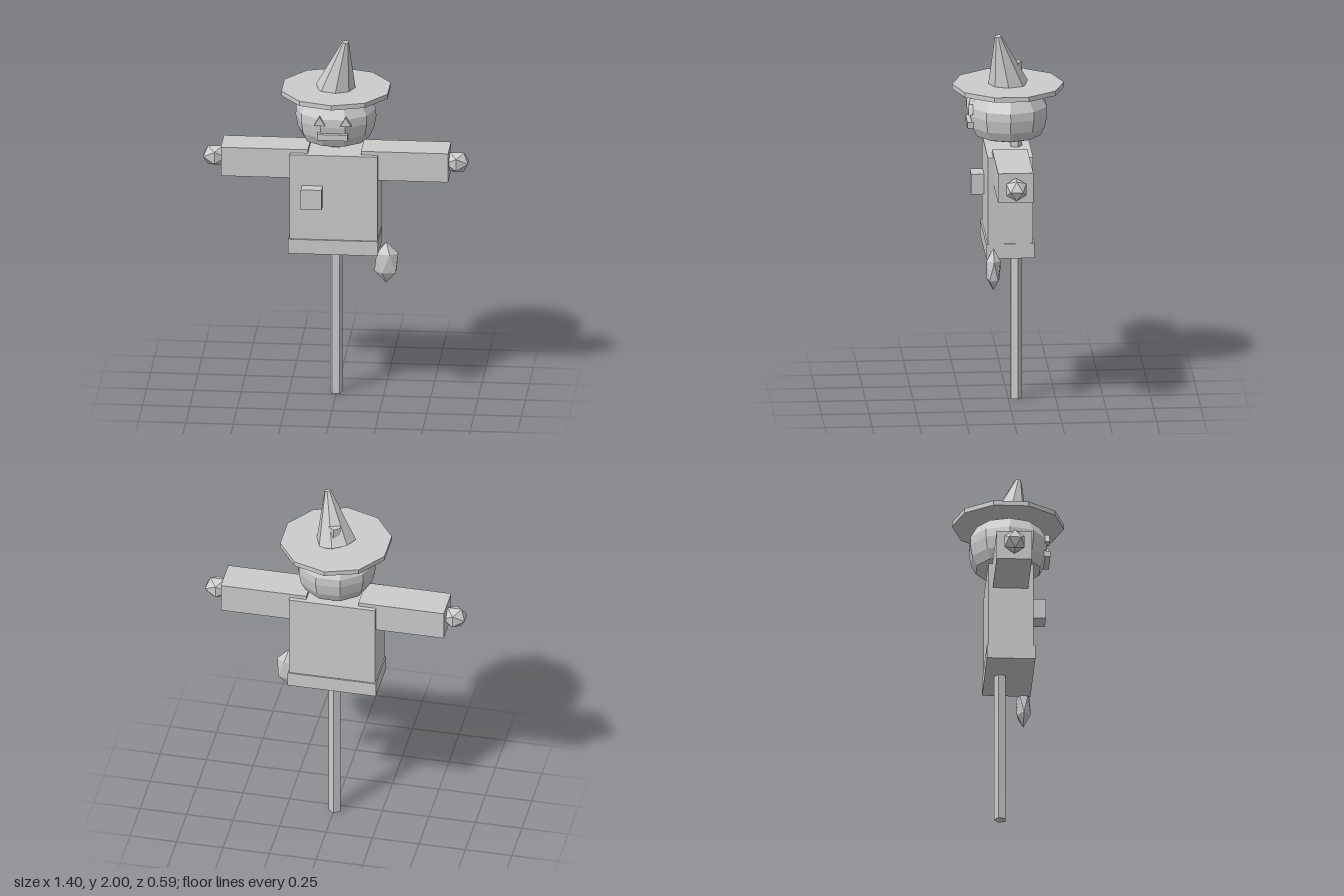
import * as THREE from 'three';

export function createModel() {
  const model = new THREE.Group();
  model.name = 'scarecrow';
  const grey = new THREE.MeshStandardMaterial({ color: 0xcccccc, flatShading: true });
  grey.name = 'plain grey';

  const add = (name, geometry, x = 0, y = 0, z = 0) => {
    const mesh = new THREE.Mesh(geometry, grey);
    mesh.name = name;
    mesh.position.set(x, y, z);
    model.add(mesh);
    return mesh;
  };
  // Box given by its lower and upper corners
  const box = (name, [x0, y0, z0], [x1, y1, z1]) =>
    add(name, new THREE.BoxGeometry(x1 - x0, y1 - y0, z1 - z0),
      (x0 + x1) / 2, (y0 + y1) / 2, (z0 + z1) / 2);

  // Five-sided pole running up the back and through the hat
  add('pole', new THREE.CylinderGeometry(0.034, 0.034, 1.84, 5, 1, false, Math.PI), -0.003, 0.92, -0.041);

  // Shirt, hem and chest pocket
  box('shirt', [-0.235, 0.835, -0.117], [0.229, 1.38, 0.122]);
  box('hem', [-0.241, 0.83, -0.124], [0.233, 0.91, 0.131]);
  box('pocket', [-0.17, 1.1, 0.08], [-0.06, 1.21, 0.19]);

  // Sleeves and faceted hands
  for (const [side, s] of [['left', 1], ['right', -1]]) {
    const inner = s * 0.14, outer = s * 0.6;
    box(side + 'Sleeve', [Math.min(inner, outer), 1.24, -0.093], [Math.max(inner, outer), 1.4, 0.093]);
    const hand = add(side + 'Hand', new THREE.IcosahedronGeometry(0.062, 0), s * 0.638, 1.322, 0);
    hand.scale.x = 1.15;
  }

  // Straw tuft hanging below the hem
  const tuft = new THREE.IcosahedronGeometry(1, 0);
  tuft.rotateZ(-Math.atan(2 / (1 + Math.sqrt(5))));
  tuft.scale(0.071, 0.115, 0.043);
  add('strawTuft', tuft, 0.274, 0.785, 0.096);

  // Squashed ten-sided head
  const profile = [[0, 1.43], [0.13, 1.436], [0.175, 1.45], [0.201, 1.5], [0.213, 1.565],
    [0.211, 1.61], [0.175, 1.674], [0.12, 1.7], [0, 1.7]].map(([r, y]) => new THREE.Vector2(r, y));
  add('head', new THREE.LatheGeometry(profile, 10, Math.PI / 2));

  // Triangular eyes and mouth bar
  const triangle = new THREE.Shape([[-0.029, -0.025], [0.029, -0.025], [0, 0.025]]
    .map(([x, y]) => new THREE.Vector2(x, y)));
  for (const [side, s] of [['left', 1], ['right', -1]]) {
    add(side + 'Eye', new THREE.ExtrudeGeometry(triangle, { depth: 0.025, bevelEnabled: false }),
      s * 0.069, 1.604, 0.19);
  }
  box('mouth', [-0.081, 1.5, 0.186], [0.079, 1.533, 0.219]);

  // Hat: flat ten-sided brim and leaning cone
  add('hatBrim', new THREE.CylinderGeometry(0.295, 0.295, 0.026, 10), 0, 1.711, 0);
  const cone = add('hatCone', new THREE.CylinderGeometry(0.017, 0.108, 0.29, 8), 0.028, 1.857, 0.029);
  cone.rotation.set(0.195, 0, -0.195);

  return model;
}
